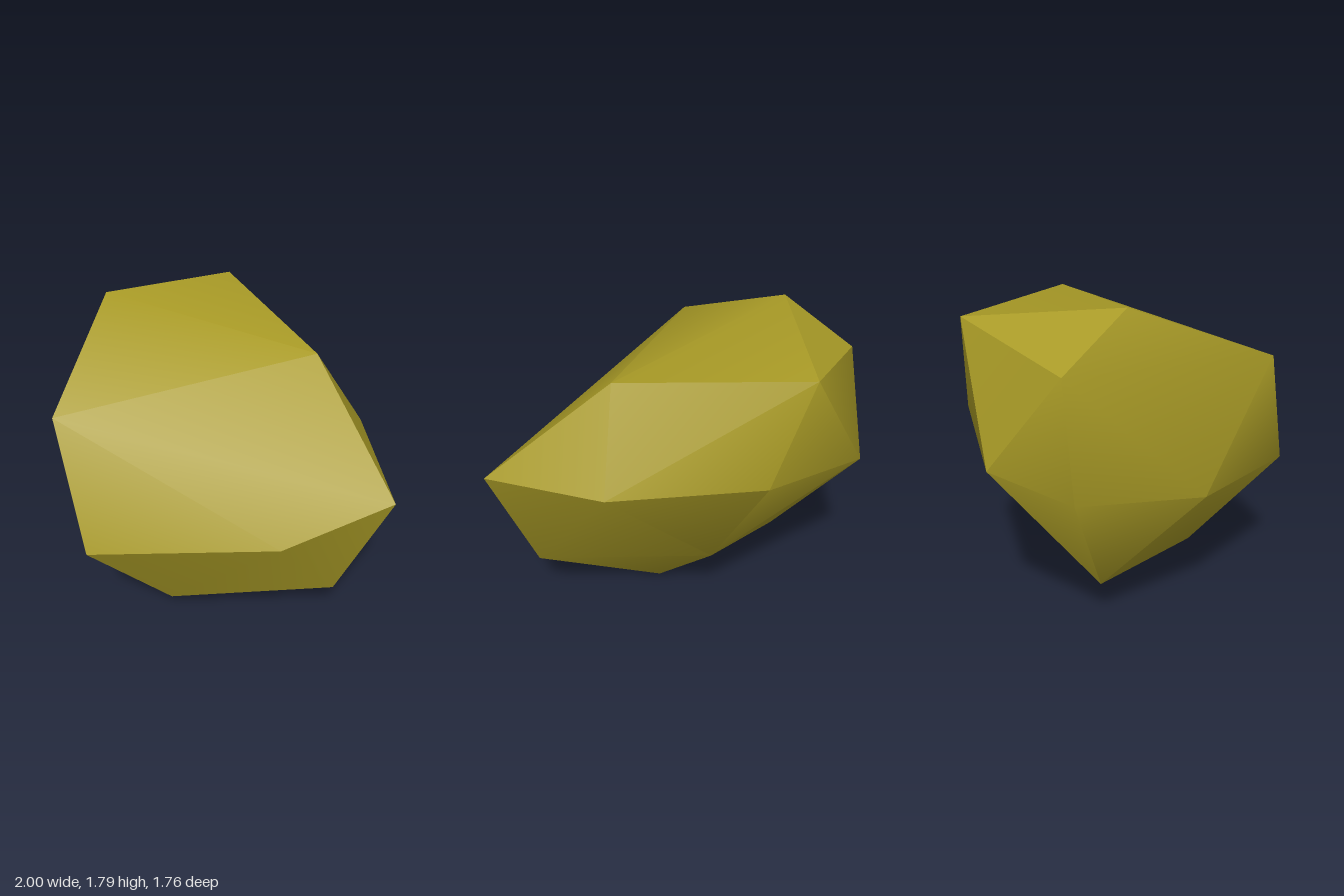
import * as THREE from 'three';
import { ConvexGeometry } from 'three/addons/geometries/ConvexGeometry.js';
import { toCreasedNormals } from 'three/addons/utils/BufferGeometryUtils.js';

// Corners of the faceted boulder, grouped by region
const crown = [[-0.79, 1.79, -0.18], [0.46, 1.63, -0.08], [-0.25, 1.68, -0.865], [-0.955, 1.54, -0.57]];
const front = [[-0.79, 1.46, 0.645], [-0.575, 0.76, 0.88], [0.46, 0.885, 0.71]];
const sides = [[1, 1.06, 0.385], [0.71, 1.11, -0.29], [-1, 0.9, -0.53], [-0.955, 0.8, 0.2]];
const back = [[0, 1.1, -0.8], [-0.71, 1.02, -0.88], [0, 0.42, -0.4]];
const base = [[0, 0, 0.05], [0.71, 0.35, 0.36], [-0.7, 0.24, -0.28], [-0.25, 0.13, 0.475]];

export function createModel() {
  const group = new THREE.Group();
  group.name = 'boulder';

  const ochreStone = new THREE.MeshStandardMaterial({ color: 0xa89a26 });
  ochreStone.name = 'ochreStone';

  // Stone body: convex hull, soft across shallow bends and sharp at strong edges
  const corners = [...crown, ...front, ...sides, ...back, ...base].map((p) => new THREE.Vector3(...p));
  const stone = new THREE.Mesh(toCreasedNormals(new ConvexGeometry(corners), 0.6), ochreStone);
  stone.name = 'stone';
  group.add(stone);

  return group;
}
